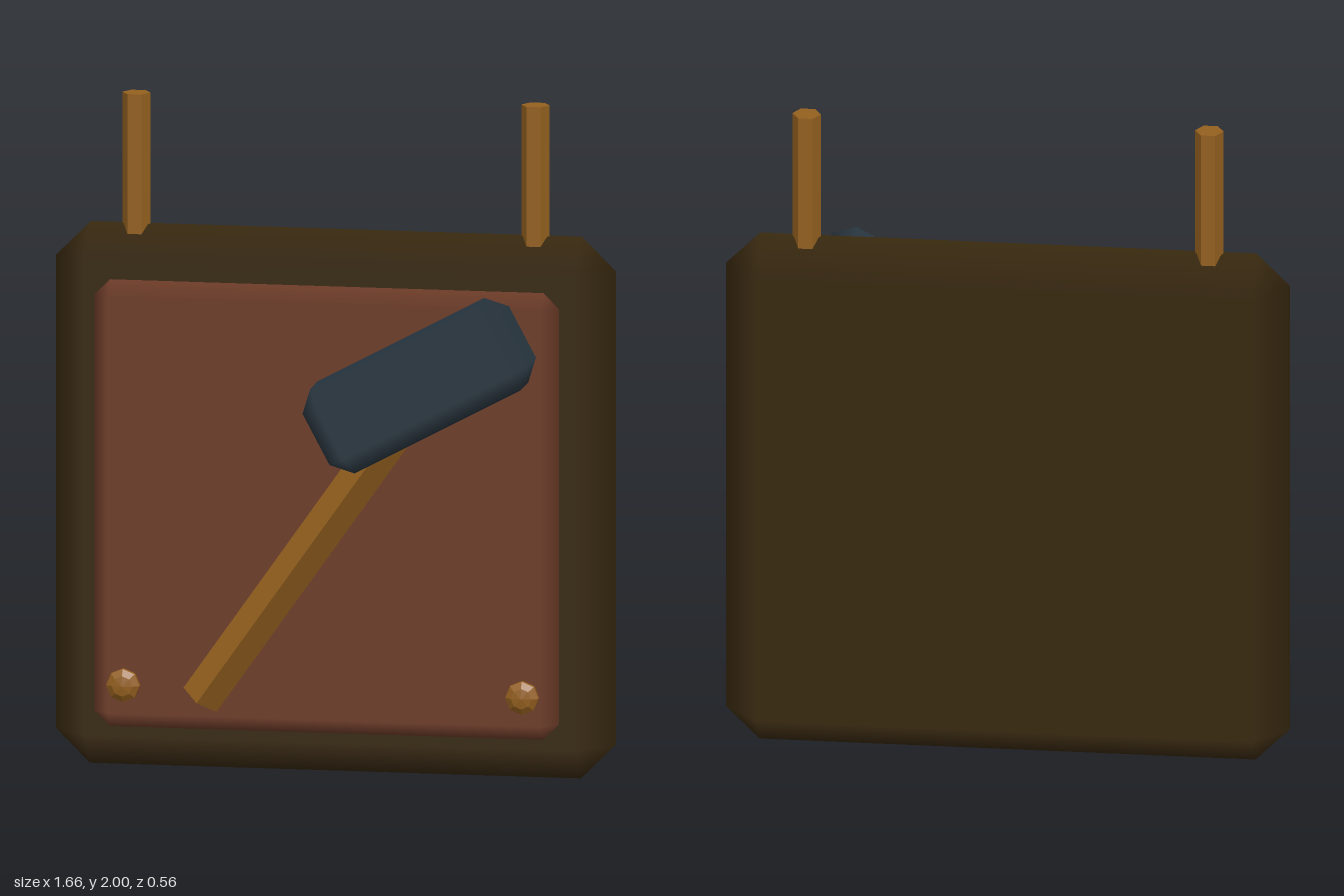
import * as THREE from 'three';

const mat = (name, color, flatShading = false) => {
  const m = new THREE.MeshStandardMaterial({ color, flatShading });
  m.name = name;
  return m;
};

// Box with one chamfer of size r on every edge; flats keep straight normals, chamfers shade softly
function chamferBox(w, h, d, r) {
  const half = [w / 2, h / 2, d / 2];
  const pos = [], nor = [], index = [];
  const S = [-1, 1];
  // one vertex per box corner and axis
  const id = (axis, s) => axis * 8 + (s[0] > 0 ? 4 : 0) + (s[1] > 0 ? 2 : 0) + (s[2] > 0 ? 1 : 0);
  for (let axis = 0; axis < 3; axis++)
    for (const x of S) for (const y of S) for (const z of S) {
      const s = [x, y, z];
      pos.push(...s.map((v, i) => v * (i === axis ? half[i] : half[i] - r)));
      nor.push(...s.map((v, i) => (i === axis ? v : 0)));
    }
  const P = i => new THREE.Vector3().fromArray(pos, i * 3);
  // adds a triangle facing the given outward direction
  const tri = (a, b, c, out) => {
    const n = P(b).sub(P(a)).cross(P(c).sub(P(a)));
    if (n.dot(out) > 0) index.push(a, b, c);
    else index.push(a, c, b);
  };
  const quad = (a, b, c, e, out) => { tri(a, b, c, out); tri(a, c, e, out); };
  const dir = o => new THREE.Vector3().fromArray(o);
  for (let a = 0; a < 3; a++) {
    const b = (a + 1) % 3, c = (a + 2) % 3;
    const signs = (sa, sb, sc) => { const s = []; s[a] = sa; s[b] = sb; s[c] = sc; return s; };
    for (const u of S) {
      // flat face
      quad(id(a, signs(u, -1, -1)), id(a, signs(u, 1, -1)), id(a, signs(u, 1, 1)), id(a, signs(u, -1, 1)),
        dir(signs(u, 0, 0)));
      // chamfers between faces a and b
      for (const v of S)
        quad(id(a, signs(u, v, -1)), id(a, signs(u, v, 1)), id(b, signs(u, v, 1)), id(b, signs(u, v, -1)),
          dir(signs(u, v, 0)));
    }
  }
  // corner triangles
  for (const x of S) for (const y of S) for (const z of S) {
    const s = [x, y, z];
    tri(id(0, s), id(1, s), id(2, s), dir(s));
  }
  const g = new THREE.BufferGeometry();
  g.setAttribute('position', new THREE.Float32BufferAttribute(pos, 3));
  g.setAttribute('normal', new THREE.Float32BufferAttribute(nor, 3));
  g.setIndex(index);
  return g;
}

export function createModel() {
  const group = new THREE.Group();
  const darkWood = mat('dark wood', 0x38280f);
  const redWood = mat('red brown wood', 0x6e3c28);
  const steel = mat('dark steel', 0x293640);
  const wood = mat('golden wood', 0x94601f, true);

  const add = (name, geometry, material, x, y, z) => {
    const m = new THREE.Mesh(geometry, material);
    m.name = name;
    m.position.set(x, y, z);
    group.add(m);
    return m;
  };

  // sign board and raised panel
  add('backBoard', chamferBox(1.66, 1.61, 0.22, 0.1), darkWood, 0, 0.805, -0.17);
  add('frontPanel', chamferBox(1.38, 1.33, 0.095, 0.046), redWood, 0, 0.805, -0.0105);

  // hammer
  add('hammerHead', chamferBox(0.67, 0.28, 0.24, 0.055), steel, 0.305, 1.215, 0.16).rotation.z = 0.49;
  const length = 1.12, tilt = 0.613;
  add('hammerHandle', new THREE.CylinderGeometry(0.06, 0.06, length, 4), wood,
    -0.35 + Math.sin(tilt) * length / 2, 0.255 + Math.cos(tilt) * length / 2, 0.14).rotation.z = -tilt;

  // hanging posts and studs, mirrored
  for (const [side, s] of [['left', 1], ['right', -1]]) {
    add(side + 'Post', new THREE.CylinderGeometry(0.042, 0.042, 0.5, 6), wood, s * 0.593, 1.75, -0.17)
      .rotation.y = Math.PI / 6;
    const stud = add(side + 'Stud', new THREE.SphereGeometry(0.052, 8, 5).rotateX(Math.PI / 2), wood,
      s * 0.593, 0.275, 0.057);
    stud.scale.z = 0.5;
  }
  return group;
}
